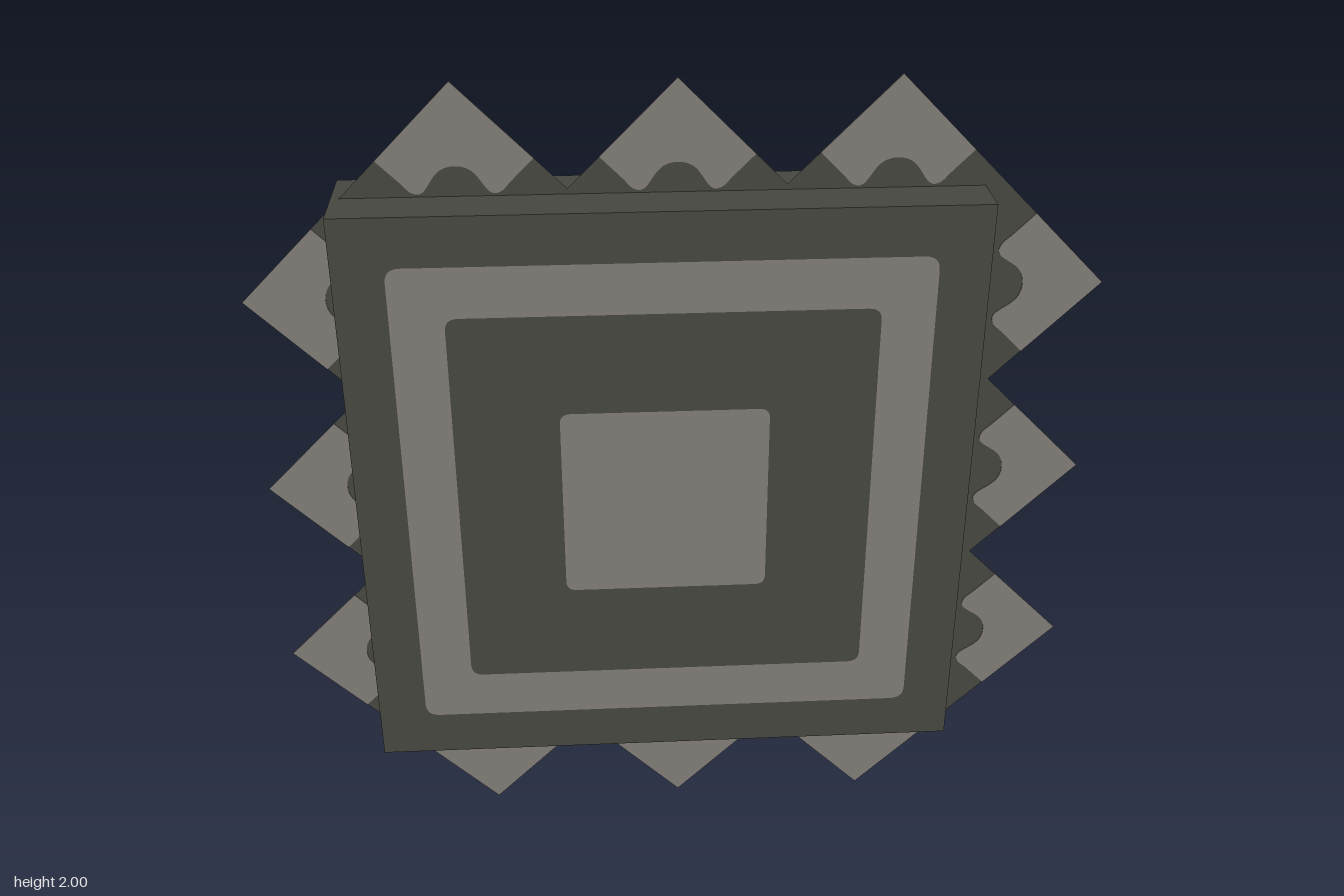
import * as THREE from 'three';

const BODY = { x: -0.037, y: 1.0, w: 1.475, h: 1.475, d: 0.245 };
const PITCH = 0.495; // spacing of the teeth
const HALF = PITCH / 2;

// Rounded square outline centred on the origin
function roundedSquare(size, r, Type = THREE.Shape) {
  const s = size / 2, p = new Type();
  p.moveTo(-s + r, -s);
  p.lineTo(s - r, -s).quadraticCurveTo(s, -s, s, -s + r);
  p.lineTo(s, s - r).quadraticCurveTo(s, s, s - r, s);
  p.lineTo(-s + r, s).quadraticCurveTo(-s, s, -s, s - r);
  p.lineTo(-s, -s + r).quadraticCurveTo(-s, -s, -s + r, -s);
  return p;
}

// Zigzag sheet: three teeth per side, hollow where the body covers it
function zigzagShape() {
  const pts = [];
  for (let side = 0; side < 4; side++) {
    const a = -side * Math.PI / 2, c = new THREE.Vector2();
    for (let i = -1; i <= 1; i++) {
      pts.push(new THREE.Vector2(i * PITCH, 1).rotateAround(c, a));
      if (i < 1) pts.push(new THREE.Vector2((i + 0.5) * PITCH, 1 - HALF).rotateAround(c, a));
    }
  }
  const shape = new THREE.Shape(pts);
  const hole = [[-0.6, -0.6], [0.68, -0.6]];
  for (const y of [-HALF, HALF]) hole.push([0.68, y - 0.04], [0.722, y], [0.68, y + 0.04]);
  hole.push([0.68, 0.6], [-0.6, 0.6]);
  shape.holes.push(new THREE.Path(hole.map(([x, y]) => new THREE.Vector2(x, y))));
  return shape;
}

// Pale tooth tip with a scalloped inner edge, point at the origin
function tipShape() {
  const right = [[0.175, -0.175], [0.125, -0.225], [0.1, -0.25], [0.075, -0.25], [0.045, -0.21], [0.025, -0.195]];
  const left = right.map(([x, y]) => [-x, y]).reverse();
  const edge = [...right, [0, -0.19], ...left].map(([x, y]) => new THREE.Vector2(x, y));
  const shape = new THREE.Shape();
  shape.moveTo(0, 0);
  shape.lineTo(0.175, -0.175);
  shape.splineThru(edge.slice(1));
  shape.lineTo(0, 0);
  return shape;
}

export function createModel() {
  const dark = new THREE.MeshStandardMaterial({ color: 0x45463f });
  dark.name = 'darkStone';
  const pale = new THREE.MeshStandardMaterial({ color: 0x7f7b75 });
  pale.name = 'paleStone';
  const darkSheet = new THREE.MeshStandardMaterial({ color: 0x45463f, side: THREE.DoubleSide });
  darkSheet.name = 'darkSheet';

  const model = new THREE.Group();
  model.name = 'toothedTile';
  const add = (parent, name, geometry, material) => {
    const mesh = new THREE.Mesh(geometry, material);
    mesh.name = name;
    parent.add(mesh);
    return mesh;
  };

  // Thick square slab
  const body = new THREE.Group();
  body.name = 'body';
  body.position.set(BODY.x, BODY.y + 0.002, 0);
  model.add(body);
  add(body, 'slab', new THREE.BoxGeometry(BODY.w, BODY.h, BODY.d), dark);

  // Inlaid frame and centre square on both faces
  const frame = roundedSquare(1.238, 0.035);
  frame.holes.push(roundedSquare(0.99, 0.03, THREE.Path));
  const frameGeo = new THREE.ShapeGeometry(frame, 6);
  const centreGeo = new THREE.ShapeGeometry(roundedSquare(0.492, 0.025), 6);
  for (const [label, turn, z] of [['front', 0, 1], ['back', Math.PI, -1]]) {
    for (const [part, geo] of [['Frame', frameGeo], ['Centre', centreGeo]]) {
      const inlay = add(body, label + part, geo, pale);
      inlay.rotation.y = turn;
      inlay.position.z = z * (BODY.d / 2 + 0.002);
    }
  }

  // Thin toothed sheet through the middle of the slab
  const teeth = new THREE.Group();
  teeth.name = 'teeth';
  teeth.position.y = 1;
  model.add(teeth);
  add(teeth, 'toothSheet', new THREE.ShapeGeometry(zigzagShape()), darkSheet);

  // Pale tips on all four sides
  const tipGeo = new THREE.ExtrudeGeometry(tipShape(), { depth: 0.004, bevelEnabled: false, curveSegments: 30 });
  tipGeo.translate(0, 0, -0.002);
  for (let side = 0; side < 4; side++) {
    const row = new THREE.Group();
    row.name = 'tipRow' + (side + 1);
    row.rotation.z = -side * Math.PI / 2;
    teeth.add(row);
    for (let i = -1; i <= 1; i++) add(row, 'toothTip', tipGeo, pale).position.set(i * PITCH, 1, 0);
  }
  return model;
}
